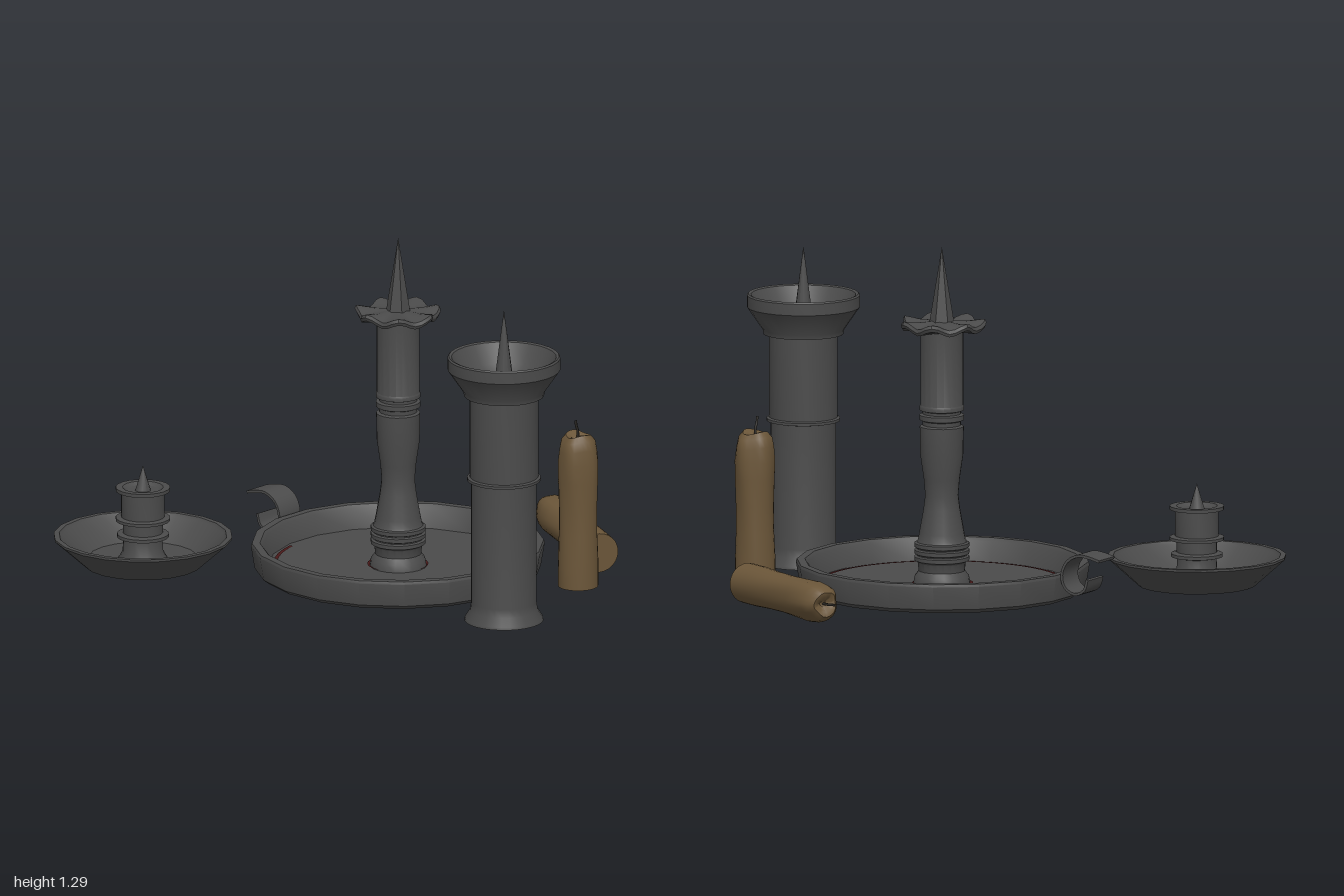
import * as THREE from 'three';
import { toCreasedNormals } from 'three/addons/utils/BufferGeometryUtils.js';

export function createModel() {
  const root = new THREE.Group();
  const iron = new THREE.MeshStandardMaterial({ color: 0x4b4b4b });
  iron.name = 'dark iron';
  const wax = new THREE.MeshStandardMaterial({ color: 0x6b5639 });
  wax.name = 'brown wax';
  const red = new THREE.MeshStandardMaterial({ color: 0x471818 });
  red.name = 'dark red';
  const black = new THREE.MeshStandardMaterial({ color: 0x2b2824 });
  black.name = 'burnt wick';

  const group = (name, x, y, z) => {
    const g = new THREE.Group();
    g.name = name;
    g.position.set(x, y, z);
    root.add(g);
    return g;
  };
  const add = (parent, name, geometry, material) => {
    const m = new THREE.Mesh(geometry, material);
    m.name = name;
    parent.add(m);
    return m;
  };
  const lathe = (profile, sides, phi = 0) =>
    new THREE.LatheGeometry(profile.map(([r, y]) => new THREE.Vector2(r, y)), sides, phi);
  // Move every vertex by a rule on angle, radius and height
  const reshape = (geometry, rule) => {
    const p = geometry.attributes.position;
    for (let i = 0; i < p.count; i++) {
      const a = Math.atan2(p.getZ(i), p.getX(i));
      const [s, y] = rule(a, Math.hypot(p.getX(i), p.getZ(i)), p.getY(i));
      p.setXYZ(i, p.getX(i) * s, y, p.getZ(i) * s);
    }
    return geometry;
  };
  const turned = (parent, name, profile, sides, phi) =>
    add(parent, name, toCreasedNormals(lathe(profile, sides, phi), 0.6), iron);
  const spike = (parent, radius, from, to, sides) => {
    const g = new THREE.ConeGeometry(radius, to - from, sides, 1, true).translate(0, (from + to) / 2, 0);
    add(parent, 'spike', toCreasedNormals(g, sides > 6 ? 0.9 : 0.3), iron);
  };

  // Wide tray
  const tray = group('tray', 0.072, 0, -0.032);
  turned(tray, 'trayPan', [[0, 0.02], [0.505, 0.02], [0.524, 0.035], [0.538, 0.12], [0.534, 0.13],
    [0.505, 0.13], [0.495, 0.118], [0.472, 0.045], [0, 0.042]], 20, Math.PI / 20);

  // Curled strap handle, a ribbon swept sideways
  const path = new THREE.CatmullRomCurve3([[-0.625, 0.192], [-0.585, 0.202], [-0.535, 0.206], [-0.487, 0.18],
    [-0.466, 0.13], [-0.478, 0.085], [-0.52, 0.062], [-0.56, 0.08], [-0.574, 0.12]]
    .map(([x, y]) => new THREE.Vector3(x, y, 0)));
  const outer = [], inner = [];
  for (let i = 0; i <= 24; i++) {
    const p = path.getPoint(i / 24), t = path.getTangent(i / 24);
    outer.push(new THREE.Vector2(p.x - t.y * 0.005, p.y + t.x * 0.005));
    inner.unshift(new THREE.Vector2(p.x + t.y * 0.005, p.y - t.x * 0.005));
  }
  const strap = new THREE.ExtrudeGeometry(new THREE.Shape([...outer, ...inner]), { depth: 0.11, bevelEnabled: false });
  strap.translate(-0.072, 0, -0.055);
  add(tray, 'handle', toCreasedNormals(strap, 0.6), iron);

  // Red traces on the tray floor and underside
  const flat = (name, g, y, up) => {
    add(tray, name, g.rotateX(up ? -Math.PI / 2 : Math.PI / 2), red).position.y = y;
  };
  flat('floorStain', new THREE.RingGeometry(0.441, 0.455, 40, 1, Math.PI * 1.07, Math.PI), 0.048, true);
  flat('baseStain', new THREE.RingGeometry(0.09, 0.112, 24), 0.046, true);
  flat('undersideDisc', new THREE.CircleGeometry(0.13, 24), 0.018, false);

  // Tall candlestick standing in the tray
  const stick = group('tallCandlestick', 0.08, 0, -0.025);
  const rings = [];
  for (const y of [0.125, 0.15, 0.175])
    rings.push([0.092, y], [0.101, y + 0.004], [0.101, y + 0.018], [0.092, y + 0.022]);
  turned(stick, 'stem', [[0.105, 0.042], [0.1, 0.07], [0.085, 0.09], [0.088, 0.12], ...rings,
    [0.088, 0.205], [0.083, 0.23], [0.067, 0.32], [0.061, 0.37], [0.066, 0.43], [0.079, 0.52], [0.081, 0.625],
    [0.07, 0.63], [0.07, 0.645], [0.082, 0.65], [0.082, 0.668], [0.07, 0.672], [0.07, 0.682],
    [0.082, 0.686], [0.082, 0.7], [0.079, 0.705], [0.079, 0.99]], 20);
  const crown = lathe([[0.07, 0.978], [0.145, 0.988], [0.15, 1.0], [0.145, 1.012], [0.09, 1.012], [0, 1.018]], 42);
  reshape(crown, (a, r, y) => {
    const edge = Math.max(0, (r - 0.07) / 0.08);
    return [1 + edge * (0.07 * Math.cos(7 * a) + 0.03 * Math.sin(3 * a)), y + edge * 0.012 * Math.cos(7 * a + 0.6)];
  });
  add(stick, 'dripCrown', toCreasedNormals(crown, 0.6), iron);
  spike(stick, 0.046, 1.005, 1.29, 6);

  // Thick pillar holder with a flared cup
  const pillar = group('pillarHolder', 0.79, 0, 0.18);
  turned(pillar, 'pillarBody', [[0, 0.02], [0.145, 0.02], [0.143, 0.03], [0.124, 0.06], [0.12, 0.09], [0.12, 0.55],
    [0.135, 0.553], [0.135, 0.563], [0.126, 0.567], [0.126, 0.873], [0.147, 0.875], [0.15, 0.892], [0.2, 0.965],
    [0.207, 0.975], [0.207, 1.018], [0.202, 1.024], [0.192, 1.02], [0.15, 0.95], [0.1, 0.9], [0, 0.88]], 28);
  spike(pillar, 0.042, 0.88, 1.2, 10);

  // Low dish with a short candle cup
  const dish = group('lowDish', -0.672, 0, 0.535);
  turned(dish, 'dishPan', [[0, 0.02], [0.215, 0.02], [0.328, 0.122], [0.328, 0.13], [0.308, 0.13],
    [0.3, 0.118], [0.2, 0.045], [0, 0.042]], 20);
  turned(dish, 'candleCup', [[0.09, 0.043], [0.075, 0.07], [0.072, 0.12], [0.095, 0.125], [0.095, 0.137],
    [0.074, 0.142], [0.074, 0.183], [0.1, 0.187], [0.1, 0.198], [0.08, 0.202], [0.08, 0.297], [0.1, 0.3],
    [0.1, 0.313], [0.075, 0.313], [0.06, 0.302], [0, 0.3]], 20);
  spike(dish, 0.03, 0.298, 0.395, 10);

  // Half burnt candles, one standing and one lying down
  const candle = (name, x, y, z) => {
    const g = group(name, x, y, z);
    const body = lathe([[0, 0], [0.074, 0], [0.074, 0.1], [0.07, 0.2], [0.069, 0.3], [0.072, 0.4], [0.074, 0.47],
      [0.069, 0.52], [0.062, 0.555], [0.045, 0.575], [0.028, 0.572], [0.012, 0.555], [0, 0.553]], 24);
    reshape(body, (a, r, h) => [
      1 + 0.07 * h * (Math.sin(3 * a + 7 * h) + Math.sin(5 * a - 9 * h)),
      h + (h > 0.5 ? 0.006 * Math.sin(2 * a + 1) : 0)]);
    add(g, 'waxBody', toCreasedNormals(body, 0.8), wax);
    const wick = new THREE.CatmullRomCurve3([[0, 0.55, 0], [0, 0.59, 0.002], [-0.002, 0.61, 0.008], [-0.002, 0.632, 0.011]]
      .map((p) => new THREE.Vector3(...p)));
    add(g, 'wick', new THREE.TubeGeometry(wick, 8, 0.005, 6), black);
    return g;
  };
  candle('standingCandle', 0.692, 0.02, -0.33);
  const lying = candle('lyingCandle', 0.595, 0.076, -0.55);
  lying.quaternion.setFromUnitVectors(new THREE.Vector3(0, 1, 0), new THREE.Vector3(-0.872, 0.012, -0.49).normalize());

  return root;
}
